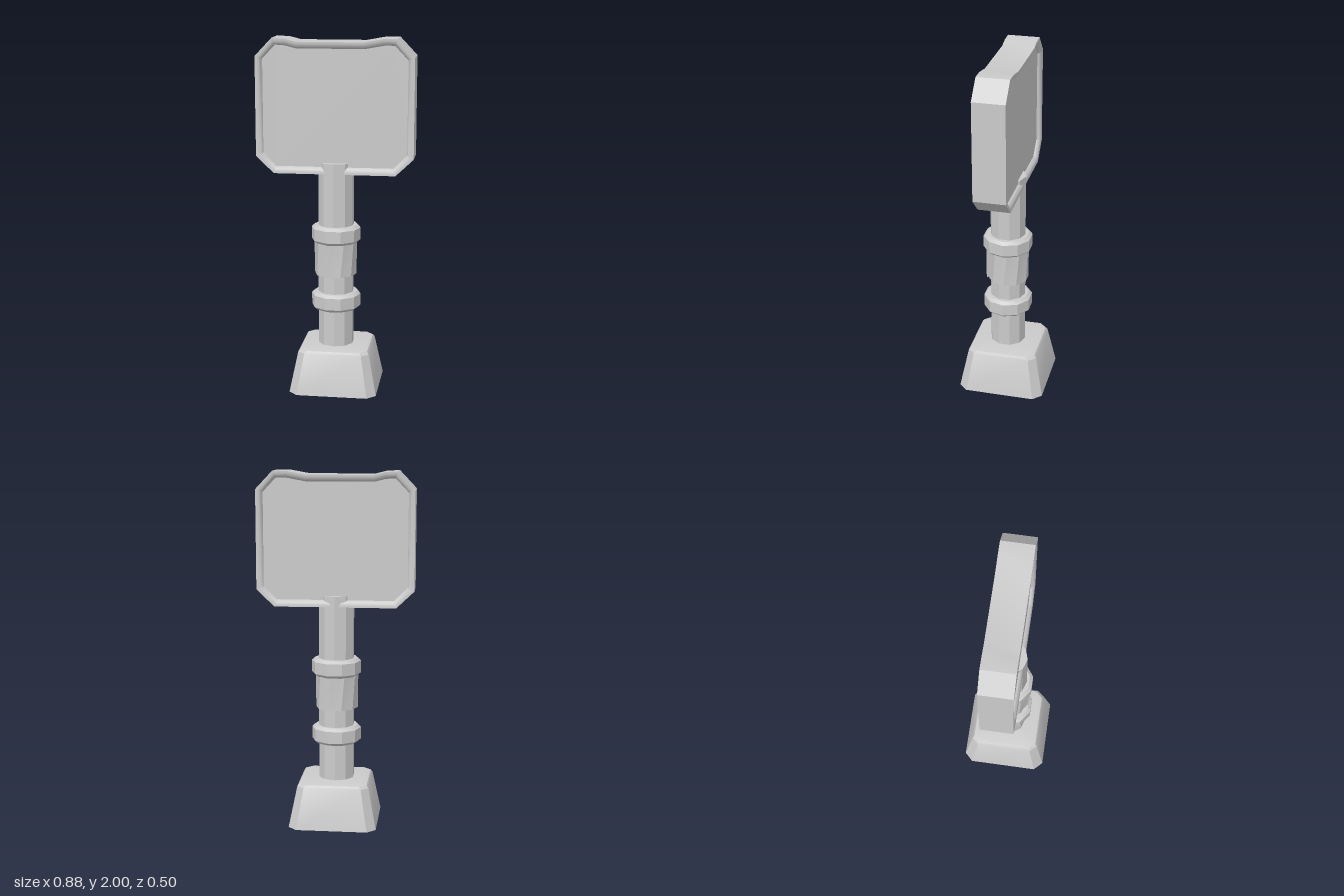
import * as THREE from 'three';
import { toCreasedNormals } from 'three/addons/utils/BufferGeometryUtils.js';

const POLE_Z = 0.005;

// Skin a stack of closed loops (counter-clockwise around the stacking axis).
function loft(loops, crease = 0.5) {
  const n = loops[0].length;
  const positions = loops.flat().flat();
  const index = [];
  for (let i = 0; i < loops.length - 1; i++) {
    for (let j = 0; j < n; j++) {
      const k = (j + 1) % n;
      const a = i * n + j, b = i * n + k, c = a + n, d = b + n;
      index.push(a, b, d, a, d, c);
    }
  }
  const geometry = new THREE.BufferGeometry();
  geometry.setAttribute('position', new THREE.Float32BufferAttribute(positions, 3));
  geometry.setIndex(index);
  return toCreasedNormals(geometry, crease);
}

// Move an outline inwards with mitred corners.
function inset(points, d) {
  const n = points.length;
  const normal = (p, q) => {
    const l = Math.hypot(q[0] - p[0], q[1] - p[1]);
    return [-(q[1] - p[1]) / l, (q[0] - p[0]) / l];
  };
  return points.map((p, i) => {
    const a = normal(points[(i + n - 1) % n], p);
    const b = normal(p, points[(i + 1) % n]);
    const s = d / (1 + a[0] * b[0] + a[1] * b[1]);
    return [p[0] + (a[0] + b[0]) * s, p[1] + (a[1] + b[1]) * s];
  });
}

// Chamfered square at a given height.
function baseLoop(half, cut, y) {
  const s = half - cut;
  return [[half, s], [s, half], [-s, half], [-half, s], [-half, -s], [-s, -half], [s, -half], [half, -s]]
    .map(([x, z]) => [x + 0.005, y, -z]);
}

export function createModel() {
  const group = new THREE.Group();
  const grey = new THREE.MeshStandardMaterial({ color: 0xcccccc });
  const flat = new THREE.MeshStandardMaterial({ color: 0xcccccc, flatShading: true });
  const thin = new THREE.MeshStandardMaterial({ color: 0xcccccc, side: THREE.DoubleSide });

  function add(name, geometry, material, y = 0, z = 0) {
    const mesh = new THREE.Mesh(geometry, material);
    mesh.name = name;
    mesh.position.set(0, y, z);
    group.add(mesh);
    return mesh;
  }

  // Hollow tapered foot, open underneath
  add('base', loft([
    baseLoop(0.248, 0.048, 0),
    baseLoop(0.202, 0.04, 0.232),
    baseLoop(0.192, 0.04, 0.247),
    baseLoop(0.172, 0.035, 0.252),
    baseLoop(0, 0, 0.252),
  ]), thin);

  // Ten-sided pole
  add('pole', new THREE.CylinderGeometry(0.102, 0.102, 1.08, 10), flat, 0.77, POLE_Z);

  // Bevelled collars above and below the grip
  const collarProfile = [[0.09, -0.05], [0.122, -0.05], [0.14, -0.034], [0.14, 0.034], [0.122, 0.05], [0.09, 0.05]]
    .map(([r, y]) => new THREE.Vector2(r, y));
  const collarGeometry = toCreasedNormals(
    new THREE.LatheGeometry(collarProfile, 10, Math.PI / 10).toNonIndexed(), 0.5);
  add('lowerCollar', collarGeometry, grey, 0.51, POLE_Z);
  add('upperCollar', collarGeometry, grey, 0.9, POLE_Z);

  // Wrapped grip: the radius grows round the pole and ends in a small overlap
  const gripLoop = (scale, y, twist) => Array.from({ length: 11 }, (_, i) => {
    const a = -1.25 + twist + (i / 10) * Math.PI * 2;
    const r = scale * (0.117 + 0.01 * i / 10);
    return [r * Math.cos(a), y, -r * Math.sin(a)];
  });
  add('grip', loft([
    gripLoop(0, 0.662, 0), gripLoop(0.98, 0.662, 0),
    gripLoop(1, 0.85, 0.15), gripLoop(0, 0.85, 0.15),
  ], 0.3), grey, 0, POLE_Z);

  // Sign outline with a worn dip along the top edge
  const outline = [
    [-0.34, 1.25], [0.34, 1.25], [0.44, 1.345], [0.44, 1.9], [0.345, 2], [0.27, 2],
    [0.16, 1.98], [-0.21, 1.98], [-0.27, 1.995], [-0.345, 2], [-0.44, 1.9], [-0.44, 1.345],
  ];

  // Rim section, from the back panel round the outside to the front panel
  const rimSection = [
    [0.04, -0.06], [0.034, -0.076], [0.024, -0.086], [0.01, -0.09], [0, -0.09],
    [0, 0.09], [0.01, 0.09], [0.024, 0.086], [0.034, 0.076], [0.04, 0.06],
  ];
  add('signRim', loft(rimSection.map(([d, z]) => inset(outline, d).map(([x, y]) => [x, y, z])), 0.6), grey);

  // Recessed panel, both faces
  const panelShape = new THREE.Shape(inset(outline, 0.03).map(([x, y]) => new THREE.Vector2(x, y)));
  add('signPanel', new THREE.ExtrudeGeometry(panelShape, { depth: 0.132, bevelEnabled: false }), grey, 0, -0.066);

  return group;
}
